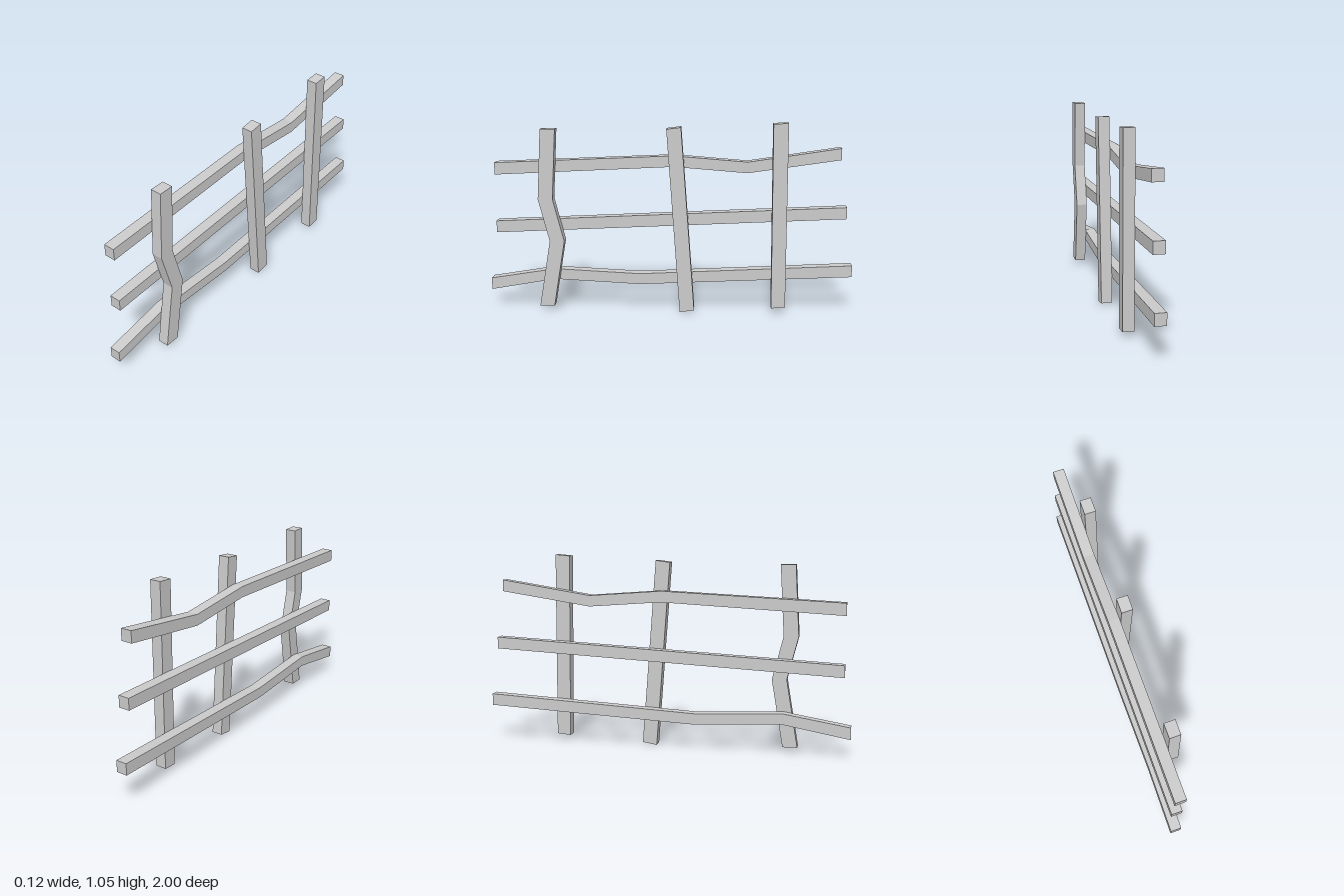
import * as THREE from 'three';

const THICKNESS = 0.06;

export function createModel() {
  const fence = new THREE.Group();
  fence.name = 'fence';
  const material = new THREE.MeshStandardMaterial({ color: 0xcccccc, flatShading: true });

  // A plank outlined in the z-y plane by its two long edges, each a list of [z, y]
  function addPlank(name, edgeA, edgeB, x) {
    const outline = [...edgeA, ...[...edgeB].reverse()].map(([z, y]) => new THREE.Vector2(z, y));
    const geometry = new THREE.ExtrudeGeometry(new THREE.Shape(outline), {
      depth: THICKNESS, bevelEnabled: false,
    });
    geometry.rotateY(-Math.PI / 2); // shape x becomes z, depth runs towards -x
    const plank = new THREE.Mesh(geometry, material);
    plank.name = name;
    plank.position.x = x;
    fence.add(plank);
  }

  // Rails: stations [z, top y, bottom y] from front to back
  const rails = {
    topRail: [[0.96, 0.818, 0.752], [-0.02, 0.863, 0.803], [-0.42, 0.832, 0.772], [-0.92, 0.91, 0.847]],
    middleRail: [[0.96, 0.492, 0.427], [-0.96, 0.588, 0.524]],
    bottomRail: [[1, 0.163, 0.098], [0.64, 0.222, 0.163], [0.165, 0.2, 0.14], [-1, 0.262, 0.198]],
  };
  for (const [name, stations] of Object.entries(rails)) {
    addPlank(name, stations.map(([z, top]) => [z, top]), stations.map(([z, , low]) => [z, low]), 0);
  }

  // Posts: front edge and back edge from top to bottom
  const posts = {
    bentPost: [
      [[0.692, 1.01], [0.714, 0.628], [0.655, 0.395], [0.718, 0.025]],
      [[0.612, 1.01], [0.634, 0.628], [0.575, 0.395], [0.638, 0.025]],
    ],
    leaningPost: [
      [[0.016, 1.014], [-0.058, 0]],
      [[-0.062, 1.024], [-0.137, 0.012]],
    ],
    straightPost: [
      [[-0.55, 1.043], [-0.56, 0.03]],
      [[-0.63, 1.05], [-0.636, 0.037]],
    ],
  };
  for (const [name, [front, back]] of Object.entries(posts)) addPlank(name, front, back, THICKNESS);

  return fence;
}
